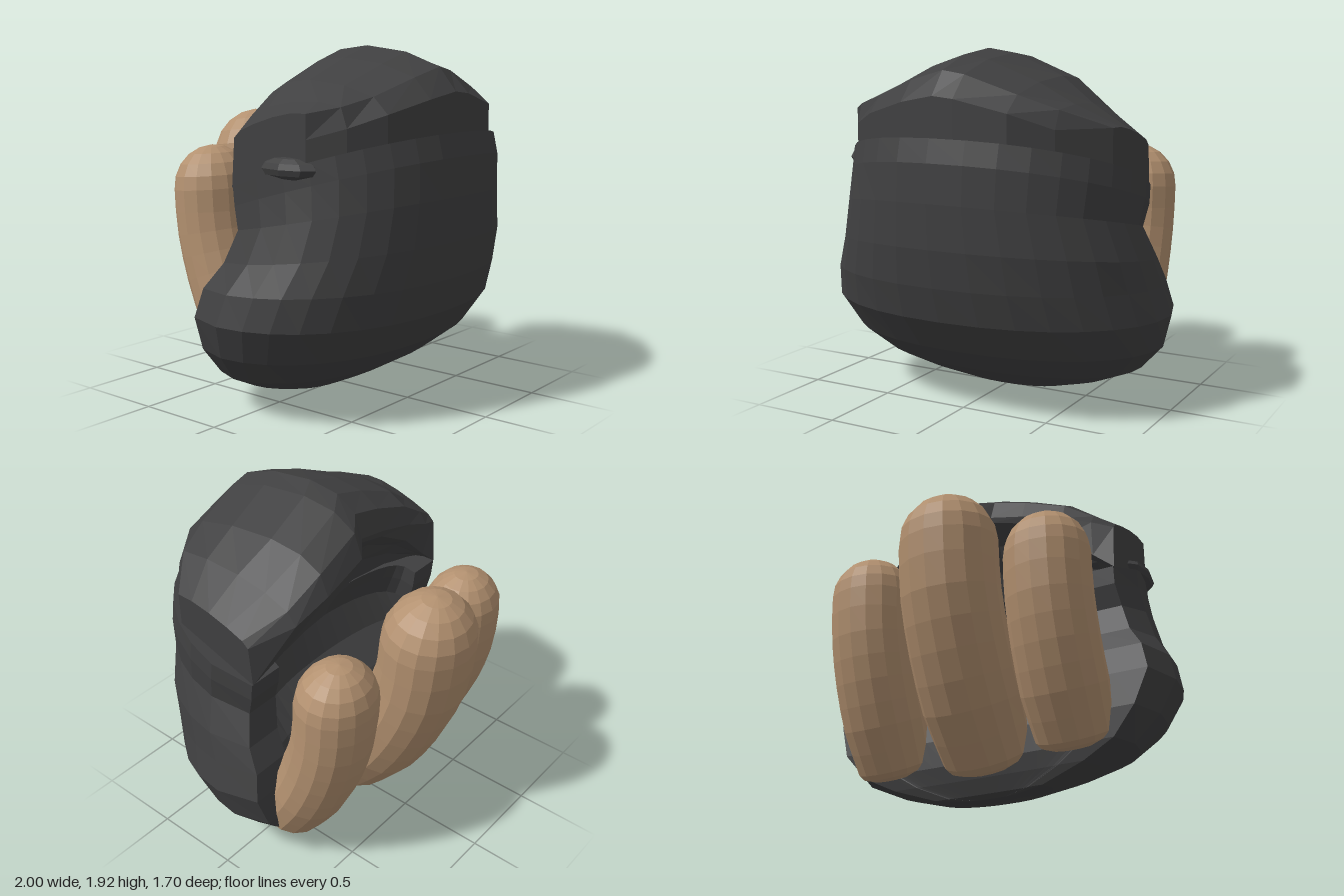
import * as THREE from 'three';

// Skin a list of closed cross-sections (equal, even point counts) and close both ends.
function loft(rings) {
  const m = rings[0].length, pos = rings.flat().flatMap(p => [p.x, p.y, p.z]);
  const idx = [];
  const quad = (a, b, c, d) => idx.push(a, b, c, a, c, d);
  for (let r = 0; r < rings.length - 1; r++)
    for (let i = 0; i < m; i++) {
      const j = (i + 1) % m;
      quad(r * m + i, r * m + j, (r + 1) * m + j, (r + 1) * m + i);
    }
  const last = (rings.length - 1) * m;
  for (let i = 0; i < m / 2 - 1; i++) {
    const k = m - 1 - i;
    quad(k, k - 1, i + 1, i);
    quad(last + i, last + i + 1, last + k - 1, last + k);
  }
  // flip the faces if the enclosed volume comes out negative
  const at = i => new THREE.Vector3().fromArray(pos, i * 3);
  let volume = 0;
  for (let i = 0; i < idx.length; i += 3)
    volume += at(idx[i]).dot(at(idx[i + 1]).cross(at(idx[i + 2])));
  if (volume < 0) idx.reverse();
  const geo = new THREE.BufferGeometry();
  geo.setAttribute('position', new THREE.Float32BufferAttribute(pos, 3));
  geo.setIndex(idx);
  const flat = geo.toNonIndexed();
  flat.computeVertexNormals();
  return flat;
}

const V = (x, y, z) => new THREE.Vector3(x, y, z);
const pow = (v, e) => Math.sign(v) * Math.pow(Math.abs(v), e);
const lerp = THREE.MathUtils.lerp;

// Hollow pouch: C-shaped sections, open to the back, tilting toward the top
function pouchGeometry() {
  // y at front, half width -x, half width +x, front z, rear z, tilt, hollow depth
  const rows = [
    [0.00, 0.15, 0.15, -0.04, -0.13, 0, 0.01],
    [0.02, 0.34, 0.34, 0.07, -0.16, 0, 0.01],
    [0.10, 0.60, 0.60, 0.24, -0.19, 0, 0.01],
    [0.19, 0.79, 0.80, 0.40, -0.21, 0, 0.01],
    [0.34, 0.92, 0.94, 0.60, -0.22, 0, 0.02],
    [0.53, 1.00, 1.00, 0.74, -0.20, 0, 0.04],
    [0.72, 0.96, 0.96, 0.80, -0.17, 0.04, 0.12],
    [0.92, 0.87, 0.93, 0.835, -0.10, 0.12, 0.22],
    [1.15, 0.81, 0.86, 0.845, -0.05, 0.20, 0.24],
    [1.35, 0.79, 0.88, 0.84, -0.09, 0.28, 0.22],
    [1.48, 0.79, 0.88, 0.81, -0.10, 0.31, 0.18],
  ];
  const n = 16;
  return loft(rows.map(([y, wl, wr, zf, zr, tilt, depth]) => {
    const zc = lerp(zr, zf, 0.24);
    const point = (x, z) => V(x * (x < 0 ? wl : wr), y - tilt * (0.8 - z), z);
    const outer = [point(0.93, zr)], inner = [point(0.74, zr)];
    for (let i = 0; i <= n; i++) {
      const c = Math.cos(Math.PI * i / n), s = Math.max(0, Math.sin(Math.PI * i / n));
      outer.push(point(pow(c, 0.9), zc + (zf - zc) * pow(s, 0.9)));
      inner.push(point(0.7 * c, zr + depth * pow(s, 0.6)));
    }
    outer.push(point(-0.93, zr));
    inner.push(point(-0.74, zr));
    return [...outer, ...inner.reverse()];
  }));
}

// Hood: side-on sections swept across x, domed in the middle and boxy at the ends
function hoodGeometry() {
  // x, crown y, front z, rear z, hollow depth, lip height (fraction of crown), boxiness
  const cols = [
    [-0.74, 1.60, 0.40, -0.08, 0.08, 0.04, 1],
    [-0.62, 1.66, 0.56, -0.11, 0.12, 0.25, 0.5],
    [-0.45, 1.75, 0.68, -0.12, 0.16, 0.5, 0],
    [-0.20, 1.86, 0.76, -0.13, 0.20, 0.64, 0],
    [0.00, 1.925, 0.78, -0.14, 0.20, 0.66, 0],
    [0.12, 1.90, 0.78, -0.24, 0.24, 0.64, 0],
    [0.40, 1.78, 0.74, -0.25, 0.20, 0.5, 0],
    [0.60, 1.66, 0.62, -0.21, 0.14, 0.25, 0.5],
    [0.81, 1.54, 0.40, -0.08, 0.08, 0.04, 1],
  ];
  // fraction rear-to-front, fraction base-to-crown
  const domed = [[1, 0], [1, 0.5], [0.89, 0.78], [0.66, 0.94], [0.38, 1],
    [0.18, 0.97], [0.05, 0.87], [0, 0.7]];
  const boxy = [[1, 0], [1, 0.5], [1, 0.98], [0.8, 0.98], [0.55, 0.91],
    [0.3, 0.82], [0.08, 0.73], [0, 0.65]];
  // fraction of the hollow depth, fraction of the lip height
  const under = [[0.5, 0.75], [0.85, 0.4], [1, 0]];
  return loft(cols.map(([x, top, f, r, depth, lip, box]) => {
    const at = (z, h) => {
      const base = 1.46 - 0.31 * (0.8 - z);
      return V(x, base + (top - base) * h, z);
    };
    const lipZ = Math.min(r + (0.7 - lip) * 0.2, -0.1);
    const shell = domed.map(([t, h], i) =>
      at(lerp(r, f, lerp(t, boxy[i][0], box)), lerp(h, boxy[i][1], box)));
    return [...shell, at(lipZ, lip),
      ...under.map(([t, h]) => at(lipZ + depth * t, lip * h))];
  }));
}

// Curved sausage with a domed tip and a slightly tapered, blunt root
function hornGeometry(path, rx, rz) {
  const curve = new THREE.CatmullRomCurve3(path.map(([y, z]) => V(0, y, z)));
  const rings = [], sides = 16;
  const ring = (t, shift, k) => {
    const c = curve.getPointAt(t), d = curve.getTangentAt(t);
    c.addScaledVector(d, shift);
    const side = V(0, -d.z, d.y);
    rings.push(Array.from({ length: sides }, (_, i) => {
      const a = 2 * Math.PI * i / sides;
      return c.clone().add(V(rx * k * Math.cos(a), 0, 0))
        .addScaledVector(side, rz * k * Math.sin(a));
    }));
  };
  const taper = 0.92;
  for (const a of [80, 50, 25]) {
    const r = a * Math.PI / 180;
    ring(0, -0.35 * rz * Math.sin(r), taper * Math.cos(r));
  }
  for (let i = 0; i <= 8; i++) ring(i / 8, 0, Math.min(1, taper + 0.04 * i));
  for (const a of [18, 36, 54, 72, 89]) {
    const r = a * Math.PI / 180;
    ring(1, rx * Math.sin(r), Math.cos(r));
  }
  return loft(rings);
}

export function createModel() {
  const group = new THREE.Group();
  const dark = new THREE.MeshStandardMaterial({ color: 0x404041, flatShading: true });
  dark.name = 'charcoal';
  const tan = new THREE.MeshStandardMaterial({ color: 0xb39170, flatShading: true });
  tan.name = 'tan';
  const add = (name, geo, mat, x = 0, y = 0, z = 0) => {
    const mesh = new THREE.Mesh(geo, mat);
    mesh.name = name;
    mesh.position.set(x, y, z);
    group.add(mesh);
    return mesh;
  };

  add('pouch', pouchGeometry(), dark);
  add('hood', hoodGeometry(), dark);

  // Small curled fold where the hood meets the pouch
  const fold = add('foldCurl', new THREE.SphereGeometry(1, 8, 6), dark, -0.73, 1.32, 0.28);
  fold.scale.set(0.08, 0.06, 0.18);

  // Three horns at the back
  const middlePath = [[0.24, -0.14], [0.47, -0.32], [0.74, -0.47], [1.02, -0.57], [1.28, -0.602]];
  const sidePath = [[0.26, -0.155], [0.46, -0.275], [0.7, -0.38], [0.95, -0.445], [1.15, -0.46]];
  add('middleHorn', hornGeometry(middlePath, 0.275, 0.25), tan, 0.005);
  const sideHorn = hornGeometry(sidePath, 0.235, 0.21);
  add('leftHorn', sideHorn, tan, 0.585);
  add('rightHorn', sideHorn, tan, -0.51);
  return group;
}
